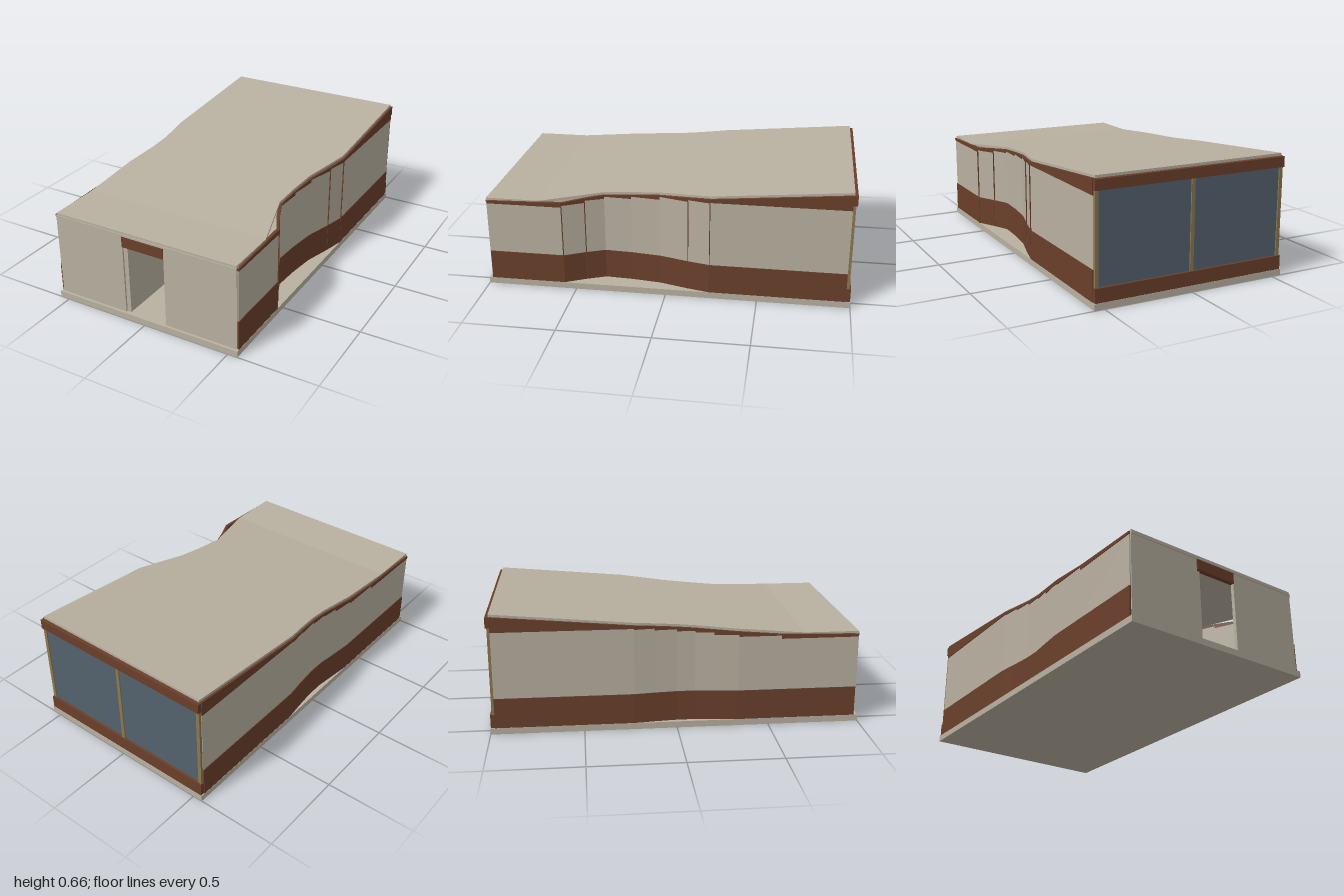
import * as THREE from 'three';

const mat = (name, color) => {
  const m = new THREE.MeshStandardMaterial({ color });
  m.name = name;
  return m;
};

// Underside of the roof: level near the front, climbing towards the back
const FLOOR = 0.035, CREASE = 0.69;
const eave = (z) => z > CREASE ? 0.502 : 0.502 + (CREASE - z) * 0.0875;

// Plan outlines as [z, x, top of the pale wall for the segment that starts here]
const rightPlan = [
  [-0.975, 0.55, 0.565], [-0.24, 0.55, 0.562], [-0.12, 0.522, 0.552], [0.04, 0.477, 0.535],
  [0.2, 0.458, 0.522], [0.35, 0.45, 0.51], [0.45, 0.492, 0.497], [0.565, 0.55, 0.487], [0.98, 0.55, 0],
];
const leftPlan = [
  [-0.975, -0.55, 0.565], [-0.23, -0.55, 0.56], [-0.12, -0.537, 0.55], [0, -0.526, 0.538],
  [0.1, -0.526, 0.53], [0.2, -0.537, 0.515], [0.33, -0.55, 0.505], [0.56, -0.55, 0.487], [0.98, -0.55, 0],
];
// Roof edges as [z, x]
const roofRight = [[-0.98, 0.542], [-0.25, 0.542], [-0.12, 0.51], [0.04, 0.468], [0.2, 0.452],
  [0.35, 0.444], [CREASE, 0.542], [0.985, 0.542]];
const roofLeft = [[-0.98, -0.542], [-0.22, -0.542], [-0.12, -0.53], [0, -0.52], [0.1, -0.521],
  [0.33, -0.542], [0.985, -0.542]];

function lookup(plan, z) {
  for (let i = 1; i < plan.length; i++) {
    const [z0, x0] = plan[i - 1], [z1, x1] = plan[i];
    if (z <= z1) return x0 + (x1 - x0) * (z - z0) / (z1 - z0);
  }
  return plan[plan.length - 1][1];
}

// Six-sided blocks, each between two sections { z, xa, xb, y0, y1 } with xa < xb
function blocks(pairs) {
  const pos = [];
  const quad = (a, b, c, d) => [a, b, c, a, c, d].forEach((p) => pos.push(...p));
  for (const [s, t] of pairs) {
    const low = [[t.xa, t.y0, t.z], [t.xb, t.y0, t.z], [s.xb, s.y0, s.z], [s.xa, s.y0, s.z]];
    const high = [[t.xa, t.y1, t.z], [t.xb, t.y1, t.z], [s.xb, s.y1, s.z], [s.xa, s.y1, s.z]];
    quad(...high);
    quad(...low.slice().reverse());
    for (let i = 0; i < 4; i++) {
      const j = (i + 1) % 4;
      quad(low[i], low[j], high[j], high[i]);
    }
  }
  const g = new THREE.BufferGeometry();
  g.setAttribute('position', new THREE.Float32BufferAttribute(pos, 3));
  g.computeVertexNormals();
  return g;
}

// Layer of a side wall; out pushes the face outwards, y0 and y1 take (z, step)
function wallLayer(plan, out, y0, y1) {
  const side = Math.sign(plan[0][1]);
  const section = ([z, x], step) => {
    const face = x + side * out, inner = x - side * 0.014;
    return { z, xa: Math.min(face, inner), xb: Math.max(face, inner), y0: y0(z, step), y1: y1(z, step) };
  };
  return blocks(plan.slice(1).map((p, i) => [section(plan[i], plan[i][2]), section(p, plan[i][2])]));
}

export function createModel() {
  const model = new THREE.Group();
  model.name = 'pavilion';
  const plaster = mat('plaster', 0xb8b0a0);
  const brown = mat('brownCladding', 0x6a3f2b);
  const glass = mat('glass', 0x54626d);
  const wood = mat('woodFrame', 0x8c7750);

  const add = (name, geometry, material) => {
    const mesh = new THREE.Mesh(geometry, material);
    mesh.name = name;
    model.add(mesh);
    return mesh;
  };
  // Box given by its limits
  const box = (name, x0, x1, y0, y1, z0, z1, material) => {
    const mesh = add(name, new THREE.BoxGeometry(x1 - x0, y1 - y0, z1 - z0), material);
    mesh.position.set((x0 + x1) / 2, (y0 + y1) / 2, (z0 + z1) / 2);
    return mesh;
  };

  box('floorSlab', -0.555, 0.555, 0, FLOOR, -1, 1, plaster);

  // Curved side walls with a brown base band and a brown band below the roof
  for (const [name, plan] of [['left', rightPlan], ['right', leftPlan]]) {
    add(name + 'Wall', wallLayer(plan, 0, () => 0.2, (z, s) => s), plaster);
    add(name + 'BaseBand', wallLayer(plan, 0.004, () => FLOOR, () => 0.2), brown);
    add(name + 'EaveBand', wallLayer(plan, 0.004, (z, s) => s, eave), brown);
  }
  // Slim dark joints where the wall panels meet
  for (const i of [1, 2, 6, 7]) {
    const [z, x] = rightPlan[i];
    box('wallJoint', x - 0.006, x + 0.005, FLOOR, rightPlan[i][2], z - 0.002, z + 0.002, brown);
  }

  // Sloping roof following both curved edges
  const stations = [...new Set([...roofRight, ...roofLeft].map(([z]) => z))].sort((a, b) => a - b);
  const roofRows = stations.map((z) => ({
    z, xa: lookup(roofLeft, z), xb: lookup(roofRight, z), y0: eave(z) - 0.001, y1: eave(z) + 0.013,
  }));
  add('roof', blocks(roofRows.slice(1).map((r, i) => [roofRows[i], r])), plaster);

  // Front wall with doorway
  for (const s of [-1, 1]) {
    box('frontWall', Math.min(s * 0.125, s * 0.544), Math.max(s * 0.125, s * 0.544),
      FLOOR, 0.492, 0.965, 0.985, plaster);
  }
  box('frontFascia', -0.544, 0.544, 0.492, 0.503, 0.965, 0.99, plaster);
  box('doorLintel', -0.125, 0.125, 0.43, 0.492, 0.965, 0.99, brown);

  // Partition beside the entrance
  box('partition', -0.125, -0.1, FLOOR, 0.43, 0.5, 0.975, plaster);
  box('partitionEnd', -0.125, -0.091, FLOOR, 0.43, 0.48, 0.5, brown);

  // Glazed back wall
  box('backSill', -0.55, 0.55, FLOOR, 0.11, -0.998, -0.972, brown);
  box('backHeader', -0.55, 0.55, 0.59, 0.645, -0.998, -0.972, brown);
  box('backWindow', -0.535, 0.535, 0.11, 0.59, -0.983, -0.977, glass);
  for (const x of [-0.537, 0, 0.537]) {
    box('backMullion', x - 0.01, x + 0.01, 0.11, 0.59, -0.99, -0.972, wood);
  }

  // Small slanted braces inside the window
  for (const s of [-1, 1]) {
    const brace = box('windowBrace', -0.035, 0.035, -0.005, 0.005, -0.005, 0.005, plaster);
    brace.position.set(s * 0.075, 0.415, -0.95);
    brace.rotation.z = s * 0.45;
  }
  return model;
}
